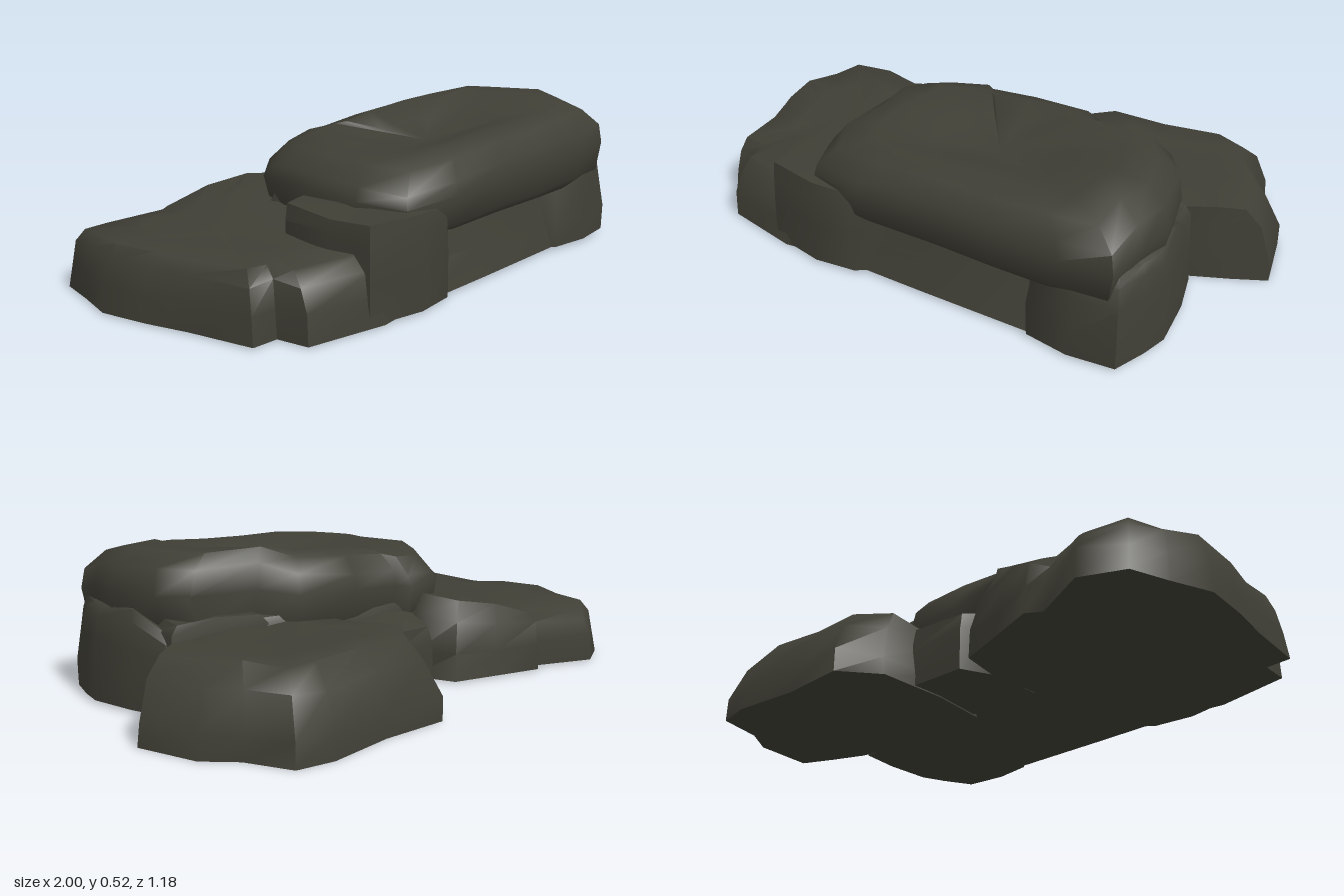
import * as THREE from 'three';
import { toCreasedNormals } from 'three/addons/utils/BufferGeometryUtils.js';

// Lofts a boulder from a plan outline [x, z] running left, front, right, back.
// Each level is [height, scale, tilt share, x shift, z shift]; the peak height closes the top.
function rock(name, material, outline, levels, peak, tilt = () => 0, bumps = 0.014) {
  const n = outline.length;
  const cx = outline.reduce((s, p) => s + p[0], 0) / n;
  const cz = outline.reduce((s, p) => s + p[1], 0) / n;
  const pos = [], index = [];
  levels.forEach(([h, s, share = 0, dx = 0, dz = 0], k) => {
    outline.forEach(([px, pz], i) => {
      const wob = k ? bumps * Math.sin(i * 2.4 + k * 1.9) : 0;
      const x = cx + dx + (px - cx) * (s + wob), z = cz + dz + (pz - cz) * (s + wob);
      pos.push(x, h + share * tilt(x, z) + wob * 0.5, z);
    });
  });
  for (let k = 0; k < levels.length - 1; k++) {
    for (let i = 0; i < n; i++) {
      const a = k * n + i, b = k * n + (i + 1) % n;
      index.push(a, b, b + n, a, b + n, a + n);
    }
  }
  // Underside and top caps
  const bottom = pos.length / 3, top = bottom + 1, last = (levels.length - 1) * n;
  const [, , , dx = 0, dz = 0] = levels[levels.length - 1];
  pos.push(cx, levels[0][0], cz, cx + dx, peak + tilt(cx, cz), cz + dz);
  for (let i = 0; i < n; i++) {
    const j = (i + 1) % n;
    index.push(j, i, bottom, last + i, last + j, top);
  }
  const geo = new THREE.BufferGeometry();
  geo.setAttribute('position', new THREE.Float32BufferAttribute(pos, 3));
  geo.setIndex(index);
  const mesh = new THREE.Mesh(toCreasedNormals(geo, 1.05), material);
  mesh.name = name;
  return mesh;
}

export function createModel() {
  const stone = new THREE.MeshStandardMaterial({ color: 0x403f36 });
  stone.name = 'dark stone';
  const group = new THREE.Group();
  group.name = 'rockFormation';
  const add = (name, ...args) => group.add(rock(name, stone, ...args));

  // Low rock on the left side, climbing a little toward the slab
  add('leftRock', [
    [-0.77, -0.55], [-0.91, -0.49], [-0.95, -0.36], [-1, -0.22], [-0.98, -0.05], [-0.95, 0.1],
    [-0.92, 0.33], [-0.83, 0.34], [-0.82, 0.45], [-0.55, 0.52], [-0.3, 0.5], [-0.15, 0.2],
    [-0.14, -0.2], [-0.18, -0.36], [-0.35, -0.42], [-0.52, -0.48], [-0.57, -0.45]],
  [[0.01, 1], [0.1, 0.98], [0.18, 0.94, 0.5], [0.22, 0.86, 1], [0.222, 0.5, 1]], 0.215,
  (x, z) => 0.2 * Math.max(0, x + 0.6) * (z < 0.35 ? 1 : 0) - 0.15 * Math.max(0, -0.3 - z));

  // Low rock at the back on the right side, leaning forward
  add('backRock', [
    [0.2, -0.59], [0.1, -0.46], [0.11, -0.2], [0.15, 0.02], [0.45, 0.06], [0.75, 0.02],
    [0.88, -0.03], [0.995, -0.08], [0.96, -0.3], [0.88, -0.4], [0.83, -0.56], [0.7, -0.59],
    [0.45, -0.57]],
  [[0.005, 1], [0.08, 0.985], [0.2, 0.9, 0, -0.01, 0.02], [0.268, 0.81, 0, -0.02, 0.05],
    [0.272, 0.5, 0, -0.02, 0.05]], 0.255);

  // Sloping block filling the gap at the back
  add('gapBlock', [[-0.1, -0.32], [-0.15, -0.2], [-0.14, 0], [0.16, 0], [0.14, -0.32]],
    [[0.01, 1], [0.15, 0.98], [0.24, 0.9, 1]], 0.25, (x, z) => 0.2 * (z + 0.2));

  // Recessed core below the slab
  add('core', [
    [-0.25, -0.13], [-0.42, -0.02], [-0.46, 0.3], [-0.36, 0.51], [0, 0.53], [0.45, 0.55],
    [0.72, 0.45], [0.75, 0.2], [0.6, 0.06], [0.35, -0.04], [0, -0.12]],
  [[0.015, 1], [0.12, 0.99, 0, 0, -0.03], [0.24, 0.98, 0, 0, -0.06], [0.29, 0.92, 0, 0, -0.05]], 0.32);

  // Feet carrying the slab at both front corners
  add('frontRightFoot', [
    [0.55, 0.04], [0.42, 0.2], [0.34, 0.45], [0.41, 0.56], [0.56, 0.59], [0.72, 0.58],
    [0.77, 0.47], [0.8, 0.38], [0.79, 0.2], [0.76, 0.05]],
  [[0.015, 1], [0.1, 0.995], [0.22, 0.93, 0.6], [0.3, 0.89, 1], [0.33, 0.8, 1]], 0.34,
  (x, z) => -0.6 * Math.max(0, 0.19 - z));
  add('frontLeftFoot', [
    [-0.4, 0.08], [-0.57, 0.14], [-0.6, 0.34], [-0.6, 0.5], [-0.4, 0.55], [-0.25, 0.54], [-0.12, 0.45], [-0.25, 0.12]],
  [[0.015, 1], [0.15, 0.985], [0.27, 0.98], [0.318, 0.94]], 0.325);

  // Large tilted slab with rounded rim and a hollow on top
  const rise = (x, z) => 0.062 * x - 0.1 * Math.max(0, x - 0.55) - 0.12 * Math.max(0, -0.2 - x)
    - 0.32 * Math.max(0, z - 0.4) - 0.32 * Math.max(0, -0.01 - z);
  add('slab', [
    [-0.14, -0.2], [-0.3, -0.18], [-0.38, -0.11], [-0.43, 0], [-0.45, 0.14], [-0.47, 0.34],
    [-0.42, 0.5], [-0.22, 0.55], [0.05, 0.56], [0.3, 0.58], [0.52, 0.59], [0.7, 0.58],
    [0.73, 0.45], [0.77, 0.33], [0.74, 0.14], [0.68, 0.03], [0.42, 0], [0.35, -0.12], [0.1, -0.15], [-0.1, -0.16]],
  [[0.22, 0.9], [0.26, 0.965, 0.3], [0.37, 1, 0.5], [0.44, 0.965, 1], [0.485, 0.86, 1],
    [0.485, 0.68, 1], [0.44, 0.38, 1]], 0.4, rise, 0.01);

  // Shoulder ledge behind the slab
  add('shoulderLedge', [[0.42, -0.05], [0.4, 0.1], [0.73, 0.16], [0.75, 0.05], [0.6, 0]],
    [[0.15, 1], [0.27, 0.97], [0.31, 0.85]], 0.315);

  return group;
}
